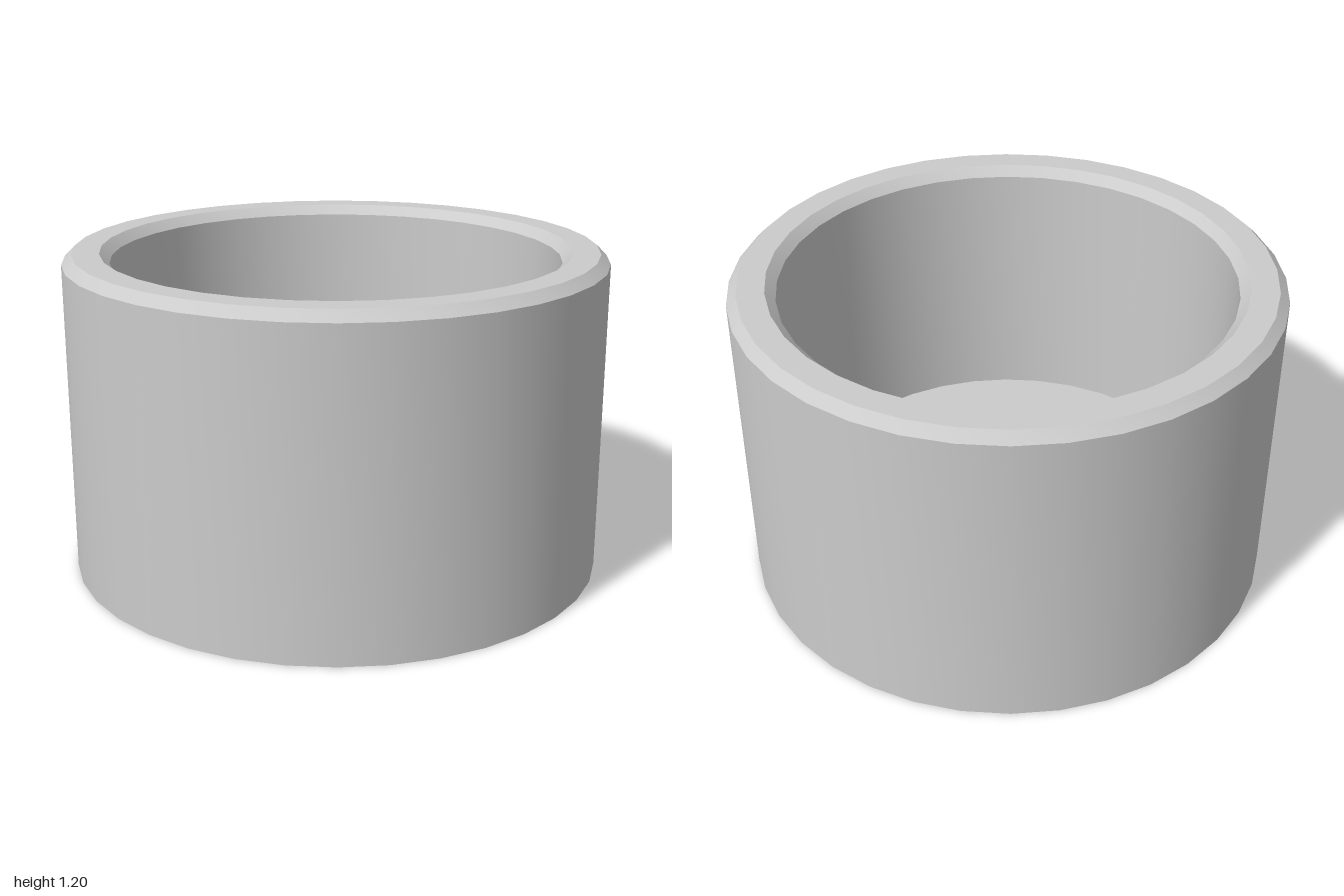
import * as THREE from 'three';
import { toCreasedNormals } from 'three/addons/utils/BufferGeometryUtils.js';

export function createModel() {
  const group = new THREE.Group();
  group.name = 'openCup';

  const height = 1.2, outer = 1, inner = 0.828, floor = 0.17, bevel = 0.036;

  // Profile: underside, outer wall, bevelled rim, inner wall, floor
  const profile = [
    [0, 0],
    [outer, 0],
    [outer, height - bevel],
    [outer - bevel, height],
    [inner + bevel, height],
    [inner, height - bevel],
    [inner, floor],
    [0, floor],
  ].map(([r, y]) => new THREE.Vector2(r, y));

  // Smooth around the walls, sharp at the bevels and corners
  const geometry = toCreasedNormals(new THREE.LatheGeometry(profile, 36), 0.5);
  const cup = new THREE.Mesh(geometry, new THREE.MeshStandardMaterial({ color: 0xcccccc }));
  cup.name = 'cupBody';
  group.add(cup);

  return group;
}
